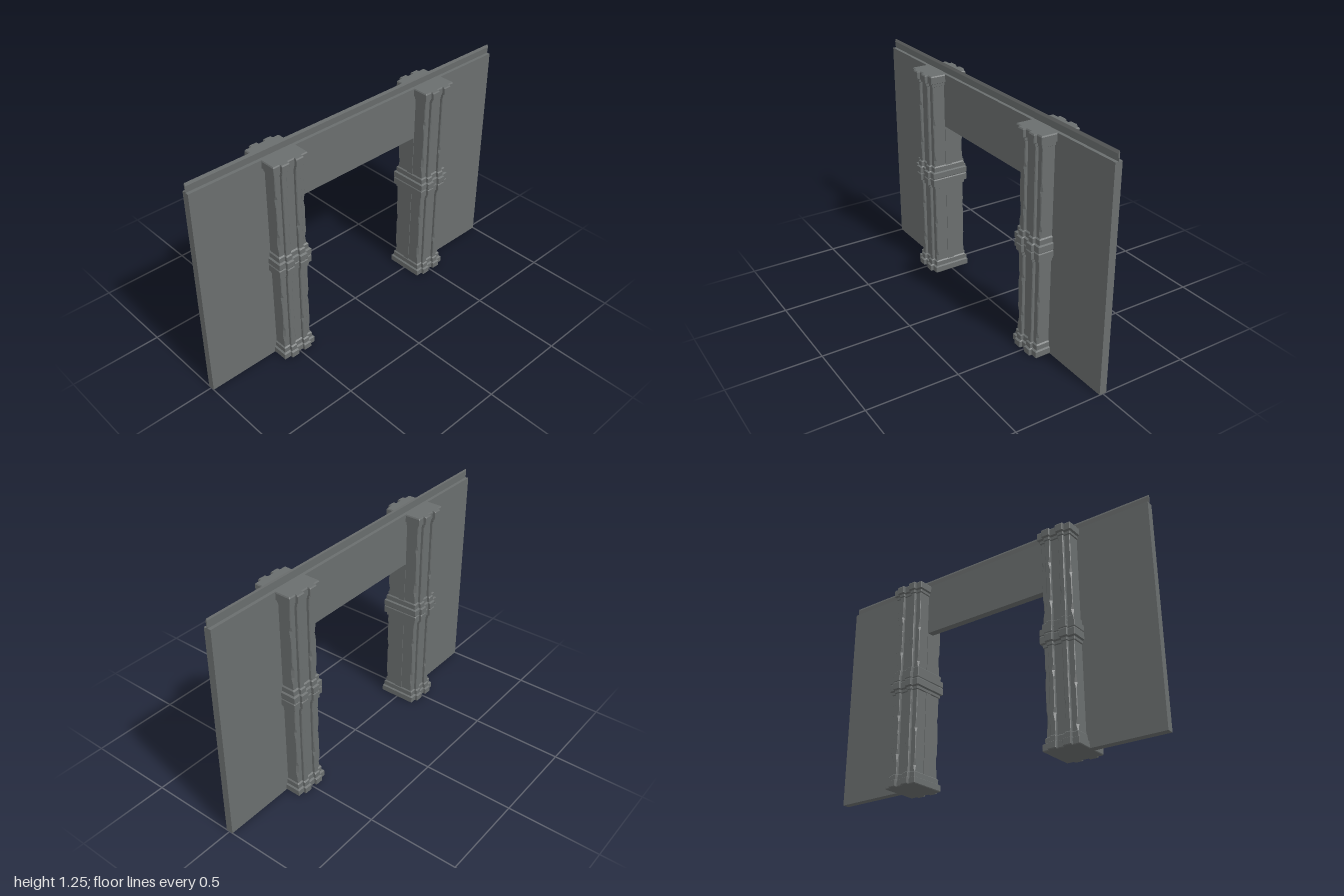
import * as THREE from 'three';

const stone = new THREE.MeshStandardMaterial({ color: 0x6a6e6e });
stone.name = 'grey stone';

// Seeded random numbers for the weathered edges
function seeded(seed) {
  return () => {
    seed = (seed * 16807) % 2147483647;
    return seed / 2147483647;
  };
}

// Pillar outline grown by o: a block with two ribs on the front and back.
// chip(k) gives how far each outer corner is cut away.
function outline(o, chip) {
  const w = 0.087 + o * 0.9, d = 0.09 + o, r = 0.106 + o;
  const inner = 0.026 - o * 0.4, outer = 0.056 + o * 0.5;
  const right = [[w, d, 1], [outer, d, 0], [outer, r, 1], [inner, r, 1], [inner, d, 0]];
  const half = [...right, ...right.map(([x, z, c]) => [-x, z, c]).reverse()];
  const all = [...half, ...half.map(([x, z, c]) => [-x, -z, c])];
  const points = [];
  all.forEach(([x, z, convex], i) => {
    if (!convex) {
      points.push(new THREE.Vector2(x, z));
      return;
    }
    const p = new THREE.Vector2(x, z);
    const cut = chip(i % half.length);
    for (const step of [-1, 1]) {
      const n = all[(i + step + all.length) % all.length];
      const dir = new THREE.Vector2(n[0], n[1]).sub(p).normalize();
      points.push(p.clone().addScaledVector(dir, cut));
    }
  });
  return points;
}

// Skin a stack of { y, points } rings and close both ends
function loft(rings) {
  const pos = [];
  const put = (ring, i) => pos.push(ring.points[i].x, ring.y, ring.points[i].y);
  const count = rings[0].points.length;
  for (let k = 0; k < rings.length - 1; k++) {
    const a = rings[k], b = rings[k + 1];
    for (let i = 0; i < count; i++) {
      const j = (i + 1) % count;
      put(a, i); put(b, i); put(b, j);
      put(a, i); put(b, j); put(a, j);
    }
  }
  for (const [ring, up] of [[rings[0], false], [rings[rings.length - 1], true]]) {
    for (const [a, b, c] of THREE.ShapeUtils.triangulateShape(ring.points, [])) {
      const [p, q, s] = [a, b, c].map((i) => ring.points[i]);
      const facesDown = q.clone().sub(p).cross(s.clone().sub(p)) > 0;
      const order = facesDown === up ? [a, c, b] : [a, b, c];
      order.forEach((i) => put(ring, i));
    }
  }
  const geometry = new THREE.BufferGeometry();
  geometry.setAttribute('position', new THREE.Float32BufferAttribute(pos, 3));
  geometry.computeVertexNormals();
  return geometry;
}

const moulding = (steps) => loft(steps.map(([y, o]) => ({ y, points: outline(o, () => 0.002) })));

// Shaft with small cuts all along its corners and a few deep chips
function chippedShaft() {
  const random = seeded(4711);
  const rings = [];
  const levels = 13;
  for (let k = 0; k <= levels; k++) {
    const inside = k > 0 && k < levels;
    const y = 0.065 + (0.475 * k) / levels + (inside ? (random() - 0.5) * 0.02 : 0);
    const cuts = Array.from({ length: 10 }, () => {
      const deep = random() > 0.88;
      return inside ? (deep ? 0.011 : 0.002 + random() * 0.003) : 0.002;
    });
    rings.push({ y, points: outline(0, (i) => cuts[i]) });
  }
  return loft(rings);
}

export function createModel() {
  const model = new THREE.Group();
  model.name = 'gateway';
  const add = (parent, name, geometry) => {
    const mesh = new THREE.Mesh(geometry, stone);
    mesh.name = name;
    parent.add(mesh);
    return mesh;
  };

  // Wall with the door opening
  const wallShape = new THREE.Shape([
    [-1, 0], [-0.41, 0], [-0.41, 0.9], [0.41, 0.9], [0.41, 0], [1, 0], [1, 1.2], [-1, 1.2],
  ].map(([x, y]) => new THREE.Vector2(x, y)));
  const wall = new THREE.ExtrudeGeometry(wallShape, { depth: 0.04, bevelEnabled: false });
  wall.translate(0, 0, -0.02);
  add(model, 'wall', wall);

  // Thin pointed ridge along the top
  const ridgeShape = new THREE.Shape([
    [-0.002, 1.2], [0.002, 1.2], [0.005, 1.235], [0, 1.25], [-0.003, 1.24],
  ].map(([x, y]) => new THREE.Vector2(x, y)));
  const ridge = new THREE.ExtrudeGeometry(ridgeShape, { depth: 2, bevelEnabled: false });
  ridge.translate(0, 0, -1).rotateY(Math.PI / 2);
  // keep the fuller face of the ridge on the front
  ridge.rotateY(Math.PI);
  add(model, 'ridge', ridge);

  // Pillars, each made of two identical stacked drums
  const base = moulding([[0, 0.014], [0.004, 0.017], [0.035, 0.017], [0.04, 0.007], [0.066, 0.007], [0.072, 0]]);
  const shaft = chippedShaft();
  const capital = moulding([[0.535, 0], [0.538, 0.006], [0.553, 0.006], [0.558, 0.017], [0.594, 0.017], [0.6, 0.013]]);
  for (const [side, x] of [['right', -0.5], ['left', 0.5]]) {
    const pillar = new THREE.Group();
    pillar.name = side + 'Pillar';
    pillar.position.x = x;
    for (const [level, y] of [['lower', 0], ['upper', 0.6]]) {
      add(pillar, level + 'Base', base).position.y = y;
      add(pillar, level + 'Shaft', shaft).position.y = y;
      add(pillar, level + 'Capital', capital).position.y = y;
    }
    model.add(pillar);
  }
  return model;
}
